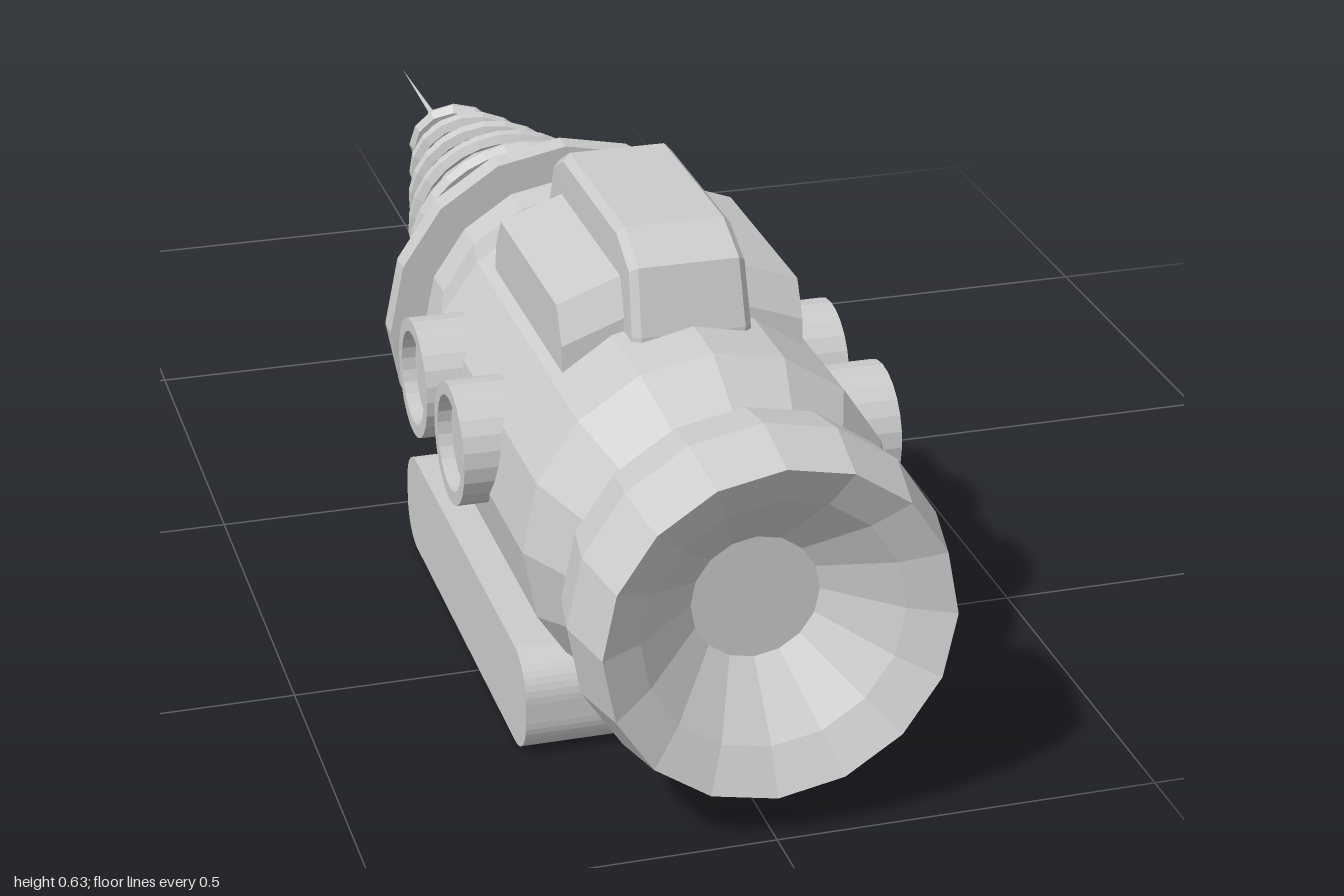
import * as THREE from 'three';

const AXIS = 0.283; // height of the hull's long axis
const material = new THREE.MeshStandardMaterial({ color: 0xcccccc, flatShading: true, side: THREE.DoubleSide });

function add(parent, name, geometry) {
  const mesh = new THREE.Mesh(geometry, material);
  mesh.name = name;
  parent.add(mesh);
  return mesh;
}

// Turned part along z; points are [radius, z]
function turned(points, sides = 16) {
  const geo = new THREE.LatheGeometry(points.map(([r, z]) => new THREE.Vector2(r, z)), sides);
  return geo.rotateX(Math.PI / 2).translate(0, AXIS, 0);
}

// Side profile of [z, y] points, extruded across x from x0 to x1
function sideExtrude(shape, x0, x1, bevel = 0) {
  const geo = new THREE.ExtrudeGeometry(shape, {
    depth: x1 - x0 - 2 * bevel, curveSegments: 5,
    bevelEnabled: bevel > 0, bevelThickness: bevel, bevelSize: bevel, bevelOffset: -bevel, bevelSegments: 1,
  });
  // shape x runs along -z so that the extrusion runs along +x
  return geo.translate(0, 0, x0 + bevel).rotateY(Math.PI / 2);
}
const profile = (pts) => new THREE.Shape(pts.map(([z, y]) => new THREE.Vector2(-z, y)));

function roundedRect(x0, y0, x1, y1, r) {
  const s = new THREE.Shape();
  s.absarc(x1 - r, y0 + r, r, -Math.PI / 2, 0);
  s.absarc(x1 - r, y1 - r, r, 0, Math.PI / 2);
  s.absarc(x0 + r, y1 - r, r, Math.PI / 2, Math.PI);
  s.absarc(x0 + r, y0 + r, r, Math.PI, Math.PI * 1.5);
  return s;
}

// Radius of the drill cone at z
const coneRadius = (z) => 0.208 + 0.243 * z;

class ThreadCurve extends THREE.Curve {
  getPoint(t, target = new THREE.Vector3()) {
    const turns = t * 6.1;
    const z = -0.06 - 0.11 * turns;
    const r = coneRadius(z) + 0.007;
    const a = turns * Math.PI * 2;
    return target.set(r * Math.cos(a), AXIS + r * Math.sin(a), z);
  }
}

export function createModel() {
  const model = new THREE.Group();
  model.name = 'drillMachine';

  // Hull, collar and rear exhaust bell
  add(model, 'hull', turned([[0, 0.005], [0.208, 0.005], [0.208, 0.08], [0.245, 0.2], [0.245, 0.71], [0.18, 0.84], [0, 0.84]]));
  add(model, 'collar', turned([[0, -0.01], [0.256, -0.01], [0.256, 0.025], [0, 0.025]]));
  add(model, 'exhaustBell', turned([[0, 0.837], [0.23, 0.837], [0.243, 0.91], [0.224, 1], [0.168, 0.97], [0.083, 0.895], [0, 0.895]]));

  // Drill cone with needle tip and spiral thread
  const drill = new THREE.Group();
  drill.name = 'drill';
  model.add(drill);
  add(drill, 'drillCone', turned([[0, -1], [0.004, -0.8], [0.012, -0.77], [0.036, -0.71], [0.208, 0]]));
  const curve = new ThreadCurve();
  add(drill, 'drillThread', new THREE.TubeGeometry(curve, 150, 0.0135, 6));
  for (const t of [0, 1]) {
    const cap = add(drill, 'threadEnd', new THREE.CircleGeometry(0.0135, 6));
    cap.position.copy(curve.getPoint(t));
    cap.lookAt(cap.position.clone().add(curve.getTangent(t)));
  }

  // Roof cabin: tall centre block, slightly narrower at the top
  const fin = sideExtrude(profile([[0.635, 0.42], [0.63, 0.52], [0.605, 0.605], [0.54, 0.635],
    [0.28, 0.635], [0.23, 0.605], [0.207, 0.52], [0.2, 0.42]]), -0.079, 0.079, 0.01);
  const fp = fin.attributes.position;
  for (let i = 0; i < fp.count; i++) {
    fp.setX(i, fp.getX(i) * (1 - 0.4 * Math.max(0, fp.getY(i) - 0.5)));
  }
  add(model, 'roofCabin', fin);

  // Sloping shoulder blocks beside the cabin
  for (const side of [1, -1]) {
    const [x0, x1] = side > 0 ? [0.05, 0.16] : [-0.16, -0.05];
    const pod = sideExtrude(profile([[0.595, 0.42], [0.585, 0.53], [0.56, 0.577],
      [0.28, 0.577], [0.253, 0.53], [0.243, 0.42]]), x0, x1);
    const p = pod.attributes.position;
    for (let i = 0; i < p.count; i++) p.setY(i, p.getY(i) - 0.37 * (Math.abs(p.getX(i)) - 0.078));
    add(model, side > 0 ? 'leftShoulder' : 'rightShoulder', pod);

    // Skid
    add(model, side > 0 ? 'leftSkid' : 'rightSkid',
      sideExtrude(roundedRect(-0.743, 0, -0.088, 0.138, 0.055), side > 0 ? 0.1 : -0.25, side > 0 ? 0.25 : -0.1));

    // Portholes, staggered from side to side, with recessed panes
    for (const z of side > 0 ? [0.355, 0.56] : [0.27, 0.475]) {
      const pts = [[0.082, 0.17], [0.082, 0.281], [0.064, 0.281], [0.064, 0.262], [0, 0.262]];
      const geo = new THREE.LatheGeometry(pts.map(([r, y]) => new THREE.Vector2(r, y)), 24);
      const porthole = add(model, 'porthole', geo.rotateZ(-side * Math.PI / 2));
      porthole.position.set(0, 0.328, z);
    }
  }
  return model;
}
